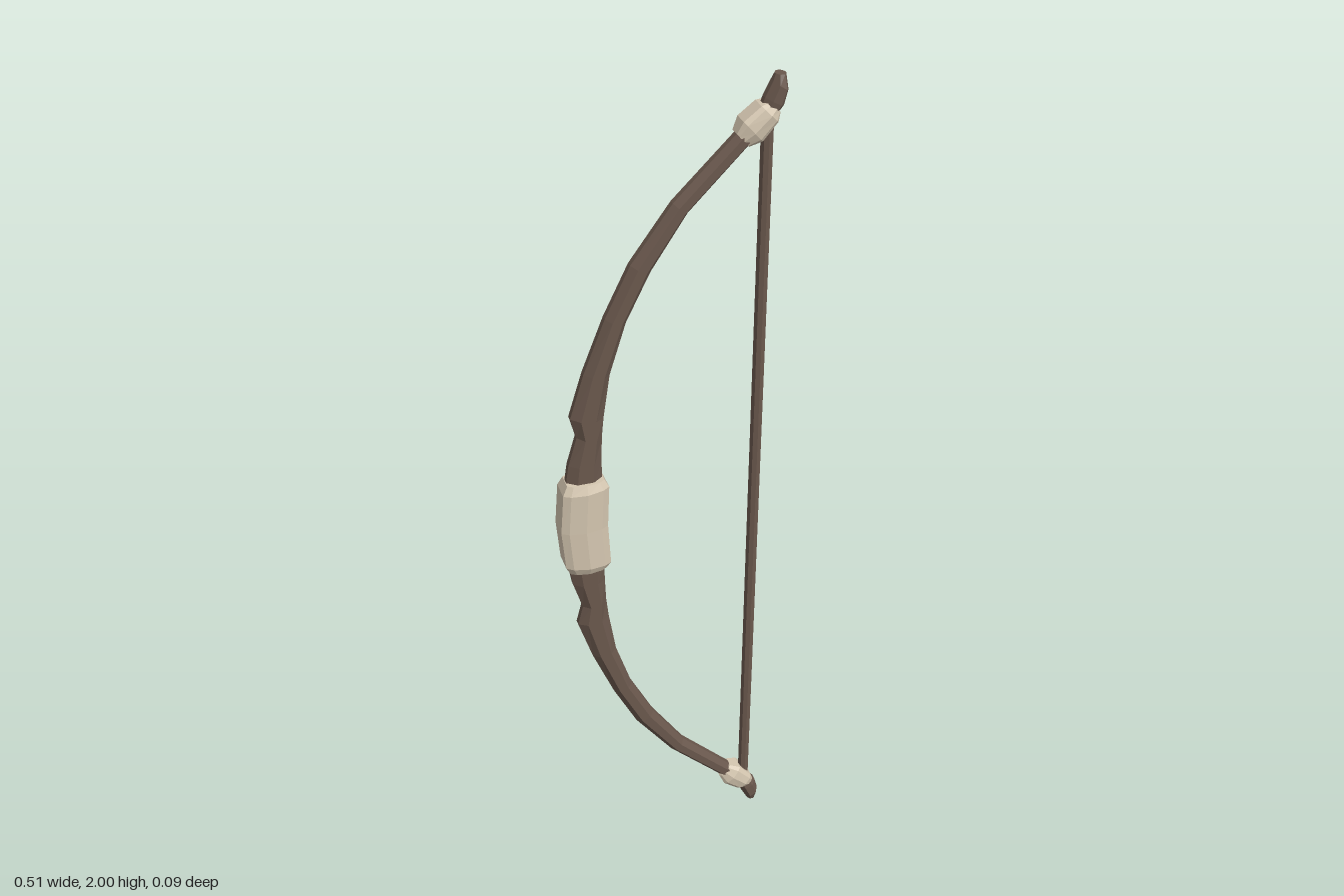
import * as THREE from 'three';

// Cross-sections as [u, w]: u runs from the outer side (-1) to the string side (+1), w is depth
const OCTAGON = [[1, 0.3], [1, -0.3], [0.45, -1], [-0.45, -1], [-1, -0.3], [-1, 0.3], [-0.45, 1], [0.45, 1]];
const ROUNDED = [[1, 0.6], [1, -0.6], [0.7, -0.84], [0, -1], [-0.7, -0.84], [-1, -0.6],
  [-1, 0.6], [-0.7, 0.84], [0, 1], [0.7, 0.84]];

// Skin over stations [outerX, outerY, innerX, innerY, halfDepth], listed from bottom to top
function loft(stations, shape) {
  const pos = [];
  const n = shape.length;
  const rings = stations.map(([ox, oy, ix, iy, d]) => shape.map(([u, w]) => {
    const t = (u + 1) / 2;
    return [ox + (ix - ox) * t, oy + (iy - oy) * t, w * d];
  }));
  const tri = (a, b, c) => pos.push(...a, ...b, ...c);
  for (let i = 0; i < rings.length - 1; i++) {
    for (let j = 0; j < n; j++) {
      const k = (j + 1) % n;
      tri(rings[i][j], rings[i][k], rings[i + 1][k]);
      tri(rings[i][j], rings[i + 1][k], rings[i + 1][j]);
    }
  }
  const first = rings[0], last = rings[rings.length - 1];
  for (let j = 1; j < n - 1; j++) {
    tri(first[0], first[j + 1], first[j]);
    tri(last[0], last[j], last[j + 1]);
  }
  const geo = new THREE.BufferGeometry();
  geo.setAttribute('position', new THREE.Float32BufferAttribute(pos, 3));
  geo.computeVertexNormals();
  return geo;
}

// Mirror stations about mid height, keeping bottom-to-top order
const flip = (s) => s.map(([ox, oy, ix, iy, d]) => [ox, 2 - oy, ix, 2 - iy, d]).reverse();

export function createModel() {
  const group = new THREE.Group();
  const wood = new THREE.MeshStandardMaterial({ color: 0x6a584d, flatShading: true });
  wood.name = 'darkWood';
  const wrap = new THREE.MeshStandardMaterial({ color: 0xd4c6b0, flatShading: true });
  wrap.name = 'paleWrap';
  const add = (name, geo, mat) => {
    const mesh = new THREE.Mesh(geo, mat);
    mesh.name = name;
    group.add(mesh);
    return mesh;
  };

  // Bow stave: upper half with a notch above the grip, mirrored below
  const upper = [
    [-0.238, 1.0, -0.15, 1.0, 0.024],
    [-0.235, 1.12, -0.152, 1.12, 0.024],
    [-0.228, 1.165, -0.152, 1.165, 0.024],
    [-0.207, 1.235, -0.15, 1.225, 0.024],
    [-0.22, 1.285, -0.145, 1.275, 0.024],
    [-0.187, 1.39, -0.129, 1.38, 0.024],
    [-0.137, 1.515, -0.091, 1.5, 0.024],
    [-0.08, 1.63, -0.036, 1.61, 0.024],
    [0.012, 1.755, 0.044, 1.73, 0.023],
    [0.155, 1.895, 0.182, 1.868, 0.022],
    [0.195, 1.935, 0.222, 1.908, 0.02],
  ];
  add('stave', loft([...flip(upper).slice(0, -1), ...upper], OCTAGON), wood);

  // Hand grip with chamfered ends
  const gripHalf = [
    [-0.255, 1.0, -0.146, 1.0, 0.043],
    [-0.247, 1.1, -0.141, 1.105, 0.043],
    [-0.236, 1.122, -0.15, 1.122, 0.034],
  ];
  add('grip', loft([...flip(gripHalf).slice(0, -1), ...gripHalf], ROUNDED), wrap);

  // Bindings and nock tips at both ends
  const binding = [
    [0.144, 1.888, 0.171, 1.858, 0.022],
    [0.156, 1.914, 0.198, 1.868, 0.031],
    [0.193, 1.942, 0.23, 1.905, 0.031],
    [0.215, 1.947, 0.236, 1.923, 0.022],
  ];
  const tip = [
    [0.195, 1.93, 0.228, 1.912, 0.02],
    [0.204, 1.955, 0.245, 1.935, 0.024],
    [0.22, 1.986, 0.253, 1.966, 0.024],
    [0.226, 2.0, 0.248, 2.0, 0.014],
  ];
  for (const [side, place] of [['upper', (s) => s], ['lower', flip]]) {
    add(side + 'Binding', loft(place(binding), ROUNDED), wrap);
    add(side + 'Tip', loft(place(tip), OCTAGON), wood);
  }

  // Bowstring
  const string = add('string', new THREE.CylinderGeometry(0.014, 0.014, 1.82, 8), wood);
  string.position.set(0.214, 1, 0);

  return group;
}
